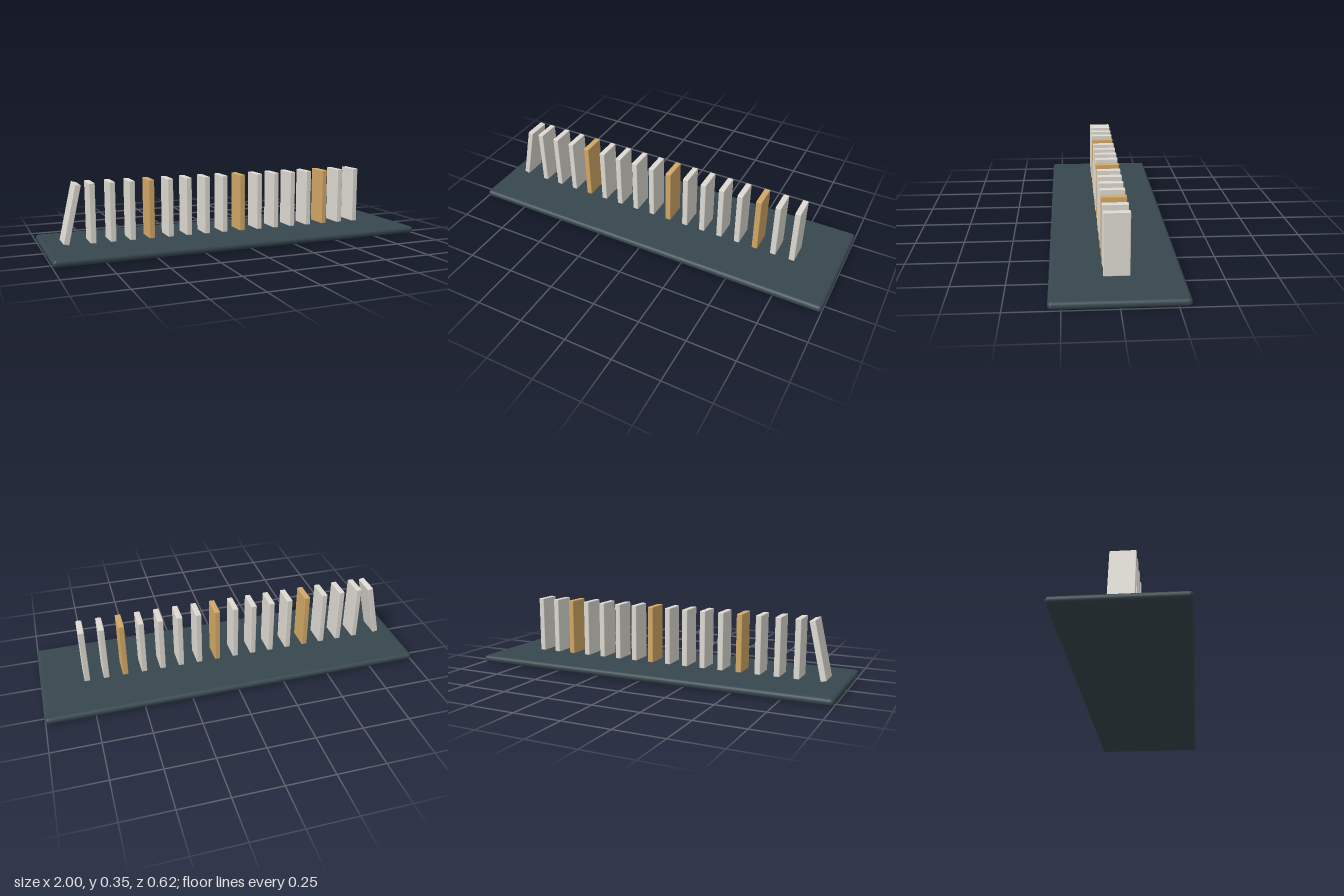
import * as THREE from 'three';
import { RoundedBoxGeometry } from 'three/addons/geometries/RoundedBoxGeometry.js';

const material = (name, color) => {
  const m = new THREE.MeshStandardMaterial({ color });
  m.name = name;
  return m;
};

export function createModel() {
  const group = new THREE.Group();
  group.name = 'dominoRow';
  const slate = material('slate', 0x37474f);
  const ivory = material('ivory', 0xdedad2);
  const gold = material('gold', 0xd2a866);

  // Base board with fully rounded edges
  const board = new THREE.Mesh(new RoundedBoxGeometry(2, 0.037, 0.615, 4, 0.018), slate);
  board.name = 'baseBoard';
  board.position.y = 0.0185;
  group.add(board);

  // Row of dominoes: the first one is tipping, every fifth one is gold
  const tile = new RoundedBoxGeometry(0.0305, 0.306, 0.123, 2, 0.004);
  const count = 17, spacing = 0.1015;
  for (let i = 0; i < count; i++) {
    const isGold = i % 5 === 4;
    const domino = new THREE.Mesh(tile, isGold ? gold : ivory);
    domino.name = i === 0 ? 'tippingDomino' : isGold ? 'goldDomino' : 'domino';
    domino.position.set(-0.862 + i * spacing, 0.196, 0);
    if (i === 0) domino.rotation.z = -0.225;
    group.add(domino);
  }
  return group;
}
